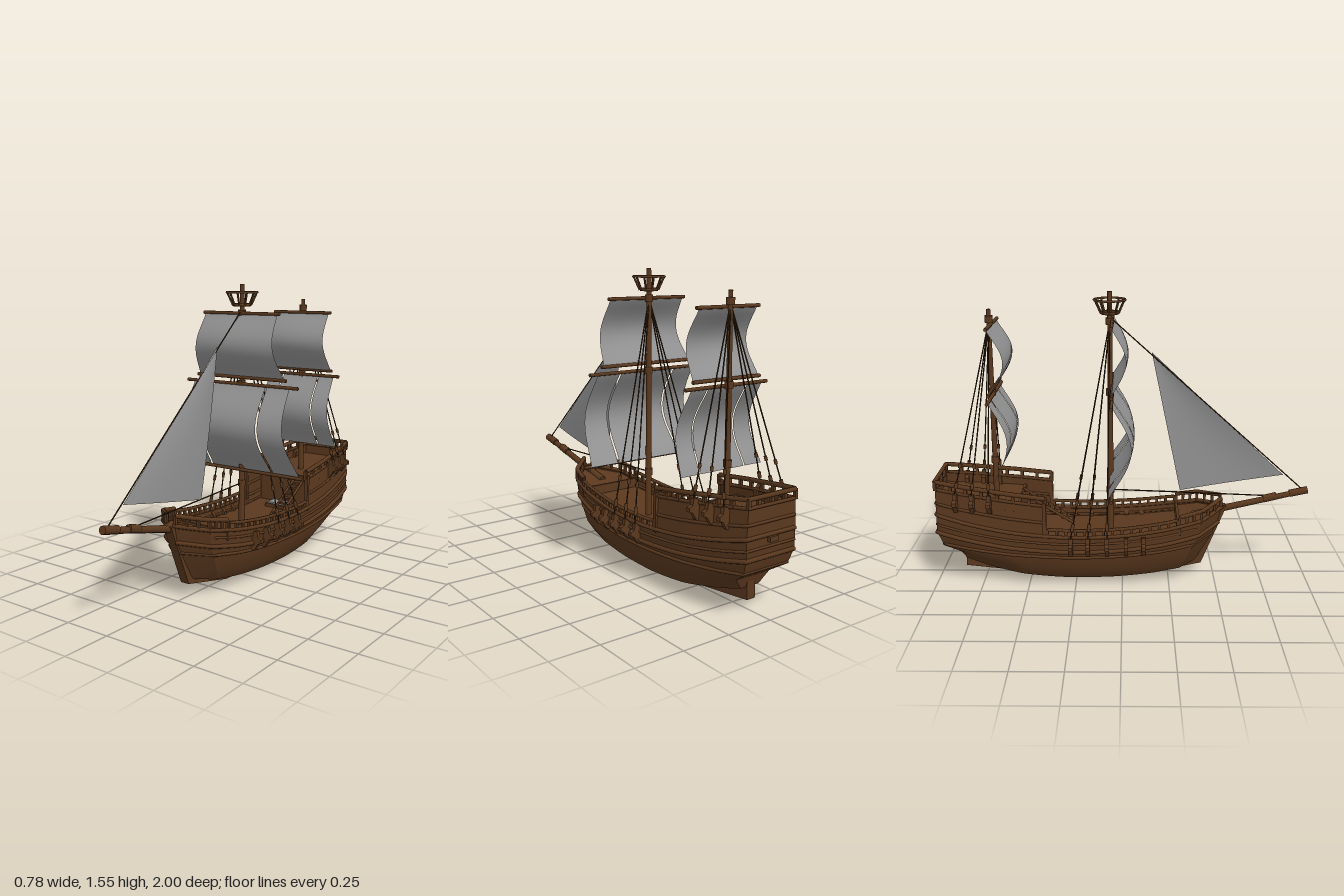
import * as THREE from 'three';
import { toCreasedNormals } from 'three/addons/utils/BufferGeometryUtils.js';

const V = (x, y, z) => new THREE.Vector3(x, y, z);
const lerp = THREE.MathUtils.lerp;

// hull levels: [z stern, z bow, half width, stern fullness, y stern, y middle, y bow]
const LEVELS = [
  [-0.85, 0.41, 0.14, 0.4, 0.11, 0.035, 0.09],
  [-0.87, 0.44, 0.19, 0.55, 0.17, 0.1, 0.15],
  [-0.95, 0.49, 0.203, 0.68, 0.22, 0.17, 0.24],
  [-0.98, 0.52, 0.213, 0.7, 0.30, 0.215, 0.31],
  [-0.98, 0.54, 0.215, 0.7, 0.40, 0.30, 0.40],
];
const TOP = 4;

// plan outline of the hull, u = 0 at the stern and 1 at the bow
function plan(u, stern) {
  const k = [[0, stern], [0.1, lerp(stern, 0.96, 0.5)], [0.25, 0.95], [0.45, 1], [0.65, 0.97], [0.8, 0.88], [0.92, 0.7], [1, 0.08]];
  let i = 0;
  while (i < k.length - 2 && u > k[i + 1][0]) i++;
  return lerp(k[i][1], k[i + 1][1], (u - k[i][0]) / (k[i + 1][0] - k[i][0]));
}
function hullPoint(level, u, side, dy = 0, scale = 1) {
  const [z0, z1, w, stern, ys, ym, yb] = LEVELS[level];
  const t = 2 * u - 1;
  const y = ym + ((t < 0 ? ys : yb) - ym) * t * t;
  return V(side * w * scale * plan(u, stern), y + dy, lerp(z0, z1, u));
}
const uAt = z => (z + 0.98) / 1.52;

// surface through a rule fn(u, v)
function surface(nu, nv, fn) {
  const pos = [], idx = [];
  for (let j = 0; j <= nv; j++) for (let i = 0; i <= nu; i++) pos.push(...fn(i / nu, j / nv).toArray());
  for (let j = 0; j < nv; j++) for (let i = 0; i < nu; i++) {
    const a = j * (nu + 1) + i, b = a + nu + 1;
    idx.push(a, a + 1, b, a + 1, b + 1, b);
  }
  const g = new THREE.BufferGeometry();
  g.setAttribute('position', new THREE.Float32BufferAttribute(pos, 3));
  g.setIndex(idx);
  return toCreasedNormals(g, 0.6);
}

export function createModel() {
  const ship = new THREE.Group();
  ship.name = 'sailingShip';
  ship.position.x = -0.012;
  const wood = new THREE.MeshStandardMaterial({ name: 'brown wood', color: 0x5a381e, side: THREE.DoubleSide });
  const rope = new THREE.MeshStandardMaterial({ name: 'dark rope', color: 0x35220f });
  const cloth = new THREE.MeshStandardMaterial({ name: 'grey canvas', color: 0x929292, side: THREE.DoubleSide });

  const add = (name, geo, mat = wood, x = 0, y = 0, z = 0) => {
    const m = new THREE.Mesh(geo, mat);
    m.name = name;
    m.position.set(x, y, z);
    ship.add(m);
    return m;
  };
  const box = (name, w, h, d, x, y, z, mat) => add(name, new THREE.BoxGeometry(w, h, d), mat, x, y, z);
  const bar = (name, a, b, r0, r1 = r0, mat = wood, sides = 8) => {
    const d = b.clone().sub(a);
    const m = add(name, new THREE.CylinderGeometry(r1, r0, d.length(), sides), mat);
    m.position.copy(a).addScaledVector(d, 0.5);
    m.quaternion.setFromUnitVectors(V(0, 1, 0), d.normalize());
    return m;
  };
  const strip = (name, pts, r) =>
    add(name, new THREE.TubeGeometry(new THREE.CatmullRomCurve3(pts, false, 'catmullrom', 0), pts.length * 2, r, 6));
  // points running along one side, around the stern and back
  const around = (u1, fn, n = 24) => {
    const pts = [];
    for (let i = -n; i <= n; i++) {
      if (i === 0) pts.push(fn(0, -1), fn(0, 1));
      else pts.push(fn(Math.abs(i) / n * u1, Math.sign(i)));
    }
    return pts;
  };

  // hull shell, bottom and transom
  for (const s of [-1, 1]) {
    add('hullSide', surface(50, TOP, (u, v) => hullPoint(Math.round(v * TOP), u, s)));
  }
  add('hullBottom', surface(50, 2, (u, v) => hullPoint(0, u, v * 2 - 1)));
  add('transom', surface(1, TOP, (u, v) => hullPoint(Math.round(v * TOP), 0, u * 2 - 1)));
  [[2, 0.01, 0.009], [3, 0, 0.012], [3, 0.045, 0.007], [4, 0, 0.011]].forEach(([l, dy, r]) =>
    strip('wale', around(1, (u, s) => hullPoint(l, u, s, dy, 1.015)), r));

  // keel, stem and stern post
  const keel = new THREE.Shape([[0.43, 0.07], [0.11, 0], [-0.4, 0], [-0.86, 0.05], [-0.86, 0.17], [-0.81, 0.19],
    [-0.79, 0.12], [-0.4, 0.06], [0.1, 0.06], [0.38, 0.12], [0.5, 0.41], [0.56, 0.4]].map(p => new THREE.Vector2(...p)));
  const keelGeo = new THREE.ExtrudeGeometry(keel, { depth: 0.05, bevelEnabled: false });
  keelGeo.translate(0, 0, -0.025).rotateY(-Math.PI / 2);
  add('keel', keelGeo);

  // decks
  const deck = (name, u0, u1, dy) => add(name, surface(24, 1, (u, v) => hullPoint(TOP, lerp(u0, u1, u), v * 2 - 1, dy, 0.98)));
  deck('mainDeck', uAt(-0.6), uAt(0.3), -0.05);
  deck('foreDeck', uAt(0.3), 1, -0.015);
  box('foreStep', 0.36, 0.05, 0.015, 0, 0.32, 0.3);

  // stern castle
  const uc = uAt(-0.4);
  const castle = (u, s, h) => {
    const p = hullPoint(TOP, u, s, 0, lerp(1, 0.95, h));
    p.y = lerp(p.y, lerp(0.54, 0.47, u / uc), h);
    return p;
  };
  const wall = [0, 1].map(h => around(uc, (u, s) => castle(u, s, h), 12));
  const last = wall[0].length - 1;
  add('castleWall', surface(last, 1, (u, v) => wall[Math.round(v)][Math.round(u * last)]));
  strip('castleWale', around(uc, (u, s) => castle(u, s, 0.45), 12), 0.008);
  strip('castleEdge', around(uc, (u, s) => castle(u, s, 1), 12), 0.009);
  strip('castleRail', around(uc, (u, s) => castle(u, s, 1).add(V(s * 0.003, 0.042, 0)), 12), 0.012);
  const uq = uAt(-0.55);
  add('quarterDeck', surface(12, 1, (u, v) => {
    const p = castle(u * uq, v * 2 - 1, 0.7);
    p.y = lerp(0.48, 0.44, u);
    return p;
  }));
  box('bulkhead', 0.39, 0.2, 0.015, 0, 0.345, -0.55);
  for (const s of [-1, 1]) {
    for (let i = 0; i < 8; i++) {
      const p = castle(uc * i / 7, s, 1);
      box('castlePost', 0.016, 0.05, 0.016, p.x, p.y + 0.02, p.z);
    }
    box('castleCorner', 0.02, 0.2, 0.02, s * 0.207, 0.39, -0.405);
  }
  for (const x of [-0.08, 0, 0.08]) box('sternPost', 0.016, 0.05, 0.016, x, 0.56, -0.975);
  box('sternBlock', 0.05, 0.025, 0.02, 0, 0.38, -0.988);

  // waist and bow railings
  for (const s of [-1, 1]) {
    const rail = (name, z0, z1, dy, r, n) => {
      const pts = [];
      for (let i = 0; i <= n; i++) {
        const p = hullPoint(TOP, lerp(uAt(z0), uAt(z1), i / n), s, dy, 0.985);
        pts.push(p);
        box(name + 'Post', 0.014, dy, 0.014, p.x, p.y - dy / 2, p.z);
      }
      strip(name, pts, r);
    };
    rail('waistRail', -0.39, 0.29, 0.038, 0.009, 14);
    rail('bowRail', 0.3, 0.53, 0.052, 0.012, 6);
  }

  // hatch and ladder
  box('hatchFrame', 0.14, 0.02, 0.09, -0.02, 0.27, -0.475);
  box('hatchCover', 0.12, 0.008, 0.07, -0.02, 0.284, -0.475, cloth);
  for (const x of [0.055, 0.115]) bar('ladderSide', V(x, 0.27, -0.27), V(x, 0.45, -0.55), 0.008);
  for (let i = 0; i < 8; i++) box('ladderStep', 0.06, 0.01, 0.028, 0.085, 0.28 + i * 0.021, -0.29 - i * 0.034);

  // masts and bowsprit
  const MZ = -0.065, AZ = -0.68;
  bar('mainMast', V(0, 0.2, MZ), V(0, 1.55, MZ), 0.018, 0.012, wood, 10);
  bar('mizzenMast', V(0, 0.4, AZ), V(0, 1.46, AZ), 0.016, 0.011, wood, 10);
  for (const [y, z] of [[1.4, MZ], [1.03, MZ], [0.49, MZ], [1.41, AZ], [1.03, AZ], [0.66, AZ]])
    add('mastBand', new THREE.CylinderGeometry(0.021, 0.021, 0.035, 10), wood, 0, y, z);
  bar('bowsprit', V(0, 0.345, 0.38), V(0, 0.487, 0.99), 0.021, 0.015);
  bar('bowspritTip', V(0, 0.469, 0.9), V(0, 0.49, 0.995), 0.021);
  bar('bowspritBand', V(0, 0.437, 0.76), V(0, 0.455, 0.83), 0.022);

  // lookout basket
  const ring = (y, r, t) => add('lookoutRing', new THREE.TorusGeometry(r, t, 6, 20).rotateX(Math.PI / 2), wood, 0, y, MZ);
  ring(1.508, 0.08, 0.006);
  ring(1.445, 0.048, 0.006);
  add('lookoutFloor', new THREE.CylinderGeometry(0.05, 0.045, 0.01, 16), wood, 0, 1.44, MZ);
  for (let i = 0; i < 10; i++) {
    const c = Math.cos(i * Math.PI / 5), s = Math.sin(i * Math.PI / 5);
    bar('lookoutStave', V(c * 0.047, 1.44, MZ + s * 0.047), V(c * 0.079, 1.51, MZ + s * 0.079), 0.005, 0.005, wood, 6);
  }

  // square sails; splits cut a sail into side by side panels
  const sail = (name, z, yTop, yBot, wTop, wBot, depth, zBot, splits) => {
    for (let k = 0; k < splits.length - 1; k++) {
      const a = splits[k] + (k ? 0.015 : 0), b = splits[k + 1] - (k < splits.length - 2 ? 0.015 : 0);
      add(name, surface(8, 20, (u, v) => {
        const f = lerp(a, b, u), w = lerp(wTop, wBot, Math.pow(v, 1.5));
        const bend = Math.pow(Math.sin(Math.PI * v), 1.2);
        return V(f * w, lerp(yTop, yBot, v), z + lerp(0.012, zBot, v) + depth * bend * (1 - 0.15 * f * f));
      }), cloth);
    }
  };
  const yard = (y, z, w) => bar('yard', V(-w, y, z), V(w, y, z), 0.009);
  sail('mainTopsail', MZ, 1.4, 1.065, 0.228, 0.272, 0.085, 0.01, [-1, 1]);
  sail('mainSail', MZ, 1.035, 0.565, 0.305, 0.36, 0.125, -0.005, [-1, -0.56, 0.54, 1]);
  sail('mizzenTopsail', AZ, 1.38, 1.06, 0.175, 0.2, 0.085, 0.02, [-1, 1]);
  sail('mizzenSail', AZ, 1.02, 0.62, 0.215, 0.25, 0.09, 0.035, [-1, -0.56, 0.54, 1]);
  [[1.4, MZ, 0.24], [1.065, MZ, 0.285], [1.03, MZ, 0.355], [0.565, MZ, 0.392],
    [1.385, AZ, 0.19], [1.055, AZ, 0.205], [1.025, AZ, 0.25]].forEach(([y, z, w]) => yard(y, z + 0.012, w));

  // jib with a sideways belly
  const head = V(0, 1.24, 0.15), tack = V(0, 0.575, 0.86), clew = V(0.01, 0.48, 0.31);
  add('jib', surface(12, 12, (u, v) => {
    const p = tack.clone().lerp(clew, u).lerp(head, v);
    p.x += 0.14 * u * (1.15 - u) * (1 - v) * (v + 0.25);
    return p;
  }), cloth);

  // stays
  const line = (a, b) => bar('rigging', a, b, 0.0035, 0.0035, rope, 5);
  line(V(0, 0.49, 0.97), V(0, 1.42, MZ));
  line(V(0, 0.455, 0.8), V(0, 0.49, MZ));

  // chain plates with shrouds
  const plate = new THREE.Shape([[-0.015, -0.055], [0.012, -0.05], [0.035, -0.012], [0.055, -0.005], [0.055, 0.015],
    [0.035, 0.025], [0.03, 0.055], [0.012, 0.055], [-0.015, 0.02]].map(p => new THREE.Vector2(...p)));
  const plateGeo = new THREE.ExtrudeGeometry(plate, { depth: 0.022, bevelEnabled: false }).translate(0, 0, -0.011);
  const shrouds = (zs, x, y, mastZ, top, from) => zs.forEach((z, i) => {
    for (const s of [-1, 1]) {
      const px = s * x(z);
      add('chainPlate', plateGeo, wood, px, y, z).rotation.y = s < 0 ? Math.PI : 0;
      if (i < from) continue;
      const foot = V(px + s * 0.025, y + 0.05, z), peak = V(0, top, mastZ);
      line(foot, peak);
      bar('deadeye', foot.clone().lerp(peak, 0.04), foot.clone().lerp(peak, 0.075), 0.009);
      bar('deadeye', foot.clone().lerp(peak, 0.16), foot.clone().lerp(peak, 0.185), 0.008);
    }
  });
  shrouds([0.11, 0.02, -0.08, -0.18, -0.27], z => 0.213 * plan(uAt(z), 0.7), 0.247, MZ, 1.4, 2);
  shrouds([-0.69, -0.78, -0.87], z => 0.207 * plan(uAt(z), 0.7), 0.475, AZ, 1.4, 0);

  return ship;
}
